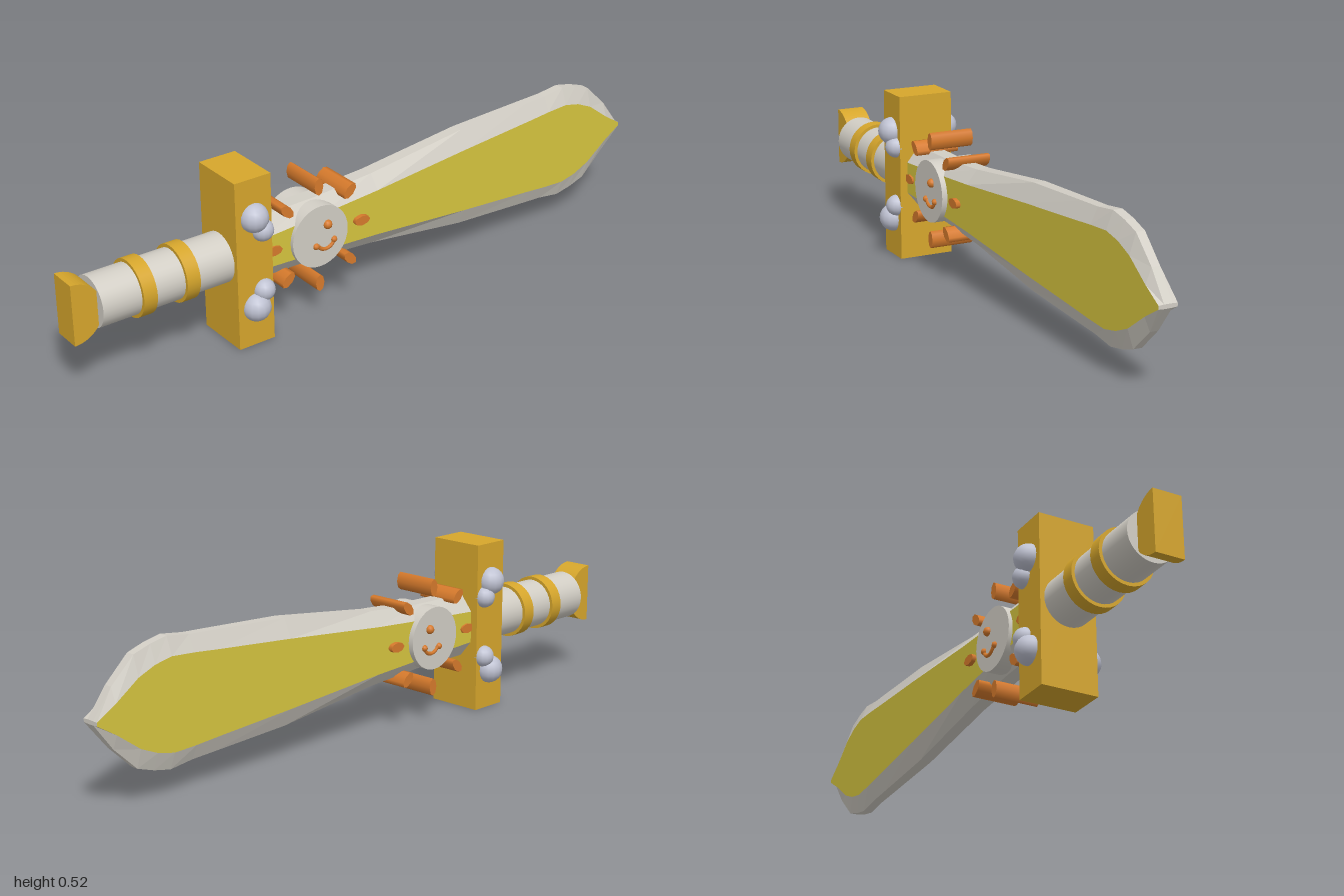
import * as THREE from 'three';

const mat = (name, color) => {
  const m = new THREE.MeshStandardMaterial({ color });
  m.name = name;
  return m;
};

const CY = 0.262; // height of the sword's axis
const FACE_Z = 0.22; // centre of the sun emblem

// Bladed octagonal cross-sections: [z, outer half height, inner half height]
function bladeGeometry() {
  const stations = [
    [0.42, 0.096, 0.047], [0.2, 0.1, 0.059], [0.0, 0.114, 0.072], [-0.34, 0.157, 0.102],
    [-0.6, 0.171, 0.122], [-0.68, 0.175, 0.129], [-0.755, 0.185, 0.133], [-0.81, 0.174, 0.121],
    [-0.865, 0.156, 0.097], [-0.94, 0.085, 0.042], [-1, 0.006, 0.005],
  ];
  const rings = stations.map(([z, o, i]) => {
    const t = (0.4 - z) / 1.4;
    const w = THREE.MathUtils.lerp(0.064, 0.028, t);
    const e = THREE.MathUtils.lerp(0.024, 0.012, t);
    return [[w, -i], [w, i], [e, o], [-e, o], [-w, i], [-w, -i], [-e, -o], [e, -o]]
      .map(([x, y]) => [x, y, z]);
  });
  const pos = [];
  const geo = new THREE.BufferGeometry();
  const addSides = (sides, materialIndex) => {
    const start = pos.length / 3;
    for (const j of sides) {
      const k = (j + 1) % 8;
      for (let s = 0; s < rings.length - 1; s++) {
        const a = rings[s][j], b = rings[s][k], c = rings[s + 1][k], d = rings[s + 1][j];
        pos.push(...a, ...d, ...c, ...a, ...c, ...b);
      }
    }
    if (materialIndex === 0) {
      const tip = rings[rings.length - 1];
      for (let j = 1; j < 7; j++) pos.push(...tip[0], ...tip[j + 1], ...tip[j]);
    }
    geo.addGroup(start, pos.length / 3 - start, materialIndex);
  };
  addSides([1, 2, 3, 5, 6, 7], 0); // bevels and edges
  addSides([0, 4], 1); // broad flats
  geo.setAttribute('position', new THREE.Float32BufferAttribute(pos, 3));
  geo.computeVertexNormals();
  return geo;
}

export function createModel() {
  const root = new THREE.Group();
  root.name = 'sword';
  const gold = mat('gold', 0xd6a62c);
  const stone = mat('paleGrey', 0xd2cec5);
  const yellow = mat('bladeYellow', 0xd6c53f);
  const orange = mat('orange', 0xd67a2c);
  const silver = mat('silverBlue', 0xbfc2d2);

  const add = (name, geo, material, x, y, z, parent = root) => {
    const m = new THREE.Mesh(geo, material);
    m.name = name;
    m.position.set(x, y, z);
    parent.add(m);
    return m;
  };
  const alongZ = (r, len) => new THREE.CylinderGeometry(r, r, len, 32).rotateX(Math.PI / 2);
  const alongX = (r, len, sides) => new THREE.CylinderGeometry(r, r, len, sides).rotateZ(Math.PI / 2);

  // Blade
  add('blade', bladeGeometry(), [stone, yellow], 0, CY, 0);

  // Guard, grip and grip rings
  add('guard', new THREE.BoxGeometry(0.175, 0.52, 0.118), gold, 0, 0.26, 0.454);
  add('grip', alongZ(0.075, 0.43), stone, 0, CY, 0.71);
  for (const z of [0.65, 0.786]) add('gripRing', alongZ(0.085, 0.042), gold, 0, CY, z);

  // Half-round pommel
  const half = new THREE.Shape();
  half.absarc(0, 0, 0.0915, -Math.PI / 2, Math.PI / 2, false);
  half.closePath();
  const pommel = new THREE.ExtrudeGeometry(half, { depth: 0.087, bevelEnabled: false, curveSegments: 16 });
  pommel.translate(0, 0, -0.0435).rotateY(Math.PI / 2);
  add('pommel', pommel, gold, 0, CY, 1);

  // Paired studs on both sides of the guard
  const bigStud = new THREE.SphereGeometry(0.043, 14, 10);
  const smallStud = new THREE.SphereGeometry(0.033, 14, 10);
  for (const sx of [-1, 1]) {
    for (const sy of [-1, 1]) {
      add('largeStud', bigStud, silver, sx * 0.088, CY + sy * 0.14, 0.454);
      add('smallStud', smallStud, silver, sx * 0.088, CY + sy * 0.094, 0.427);
    }
  }

  // Sun emblem: disc with eight rays running through the blade
  const sun = new THREE.Group();
  sun.name = 'sunEmblem';
  sun.position.set(0, CY, FACE_Z);
  root.add(sun);
  add('sunDisc', alongX(0.096, 0.148, 32), stone, 0, 0, 0, sun);
  const rayGeo = alongX(1, 0.138, 8).scale(1, 0.027, 0.015);
  for (let i = 0; i < 8; i++) {
    const a = (i * Math.PI) / 4;
    const ray = add('sunRay', rayGeo, orange, 0, 0.154 * Math.cos(a), 0.154 * Math.sin(a), sun);
    ray.rotation.x = a;
  }

  // Small face on each side of the disc
  const smile = new THREE.TorusGeometry(0.03, 0.006, 6, 12, Math.PI * 0.75)
    .rotateZ(Math.PI * 1.12).rotateY(Math.PI / 2);
  for (const sx of [-1, 1]) {
    add('eye', new THREE.SphereGeometry(0.014, 10, 8), orange, sx * 0.075, 0.032, -0.024, sun);
    add('smile', smile, orange, sx * 0.075, -0.014, -0.017, sun);
    add('smileEnd', new THREE.SphereGeometry(0.01, 8, 6), orange, sx * 0.075, -0.027, 0.017, sun);
    add('smileEnd', new THREE.SphereGeometry(0.01, 8, 6), orange, sx * 0.075, -0.022, -0.046, sun);
  }
  return root;
}
